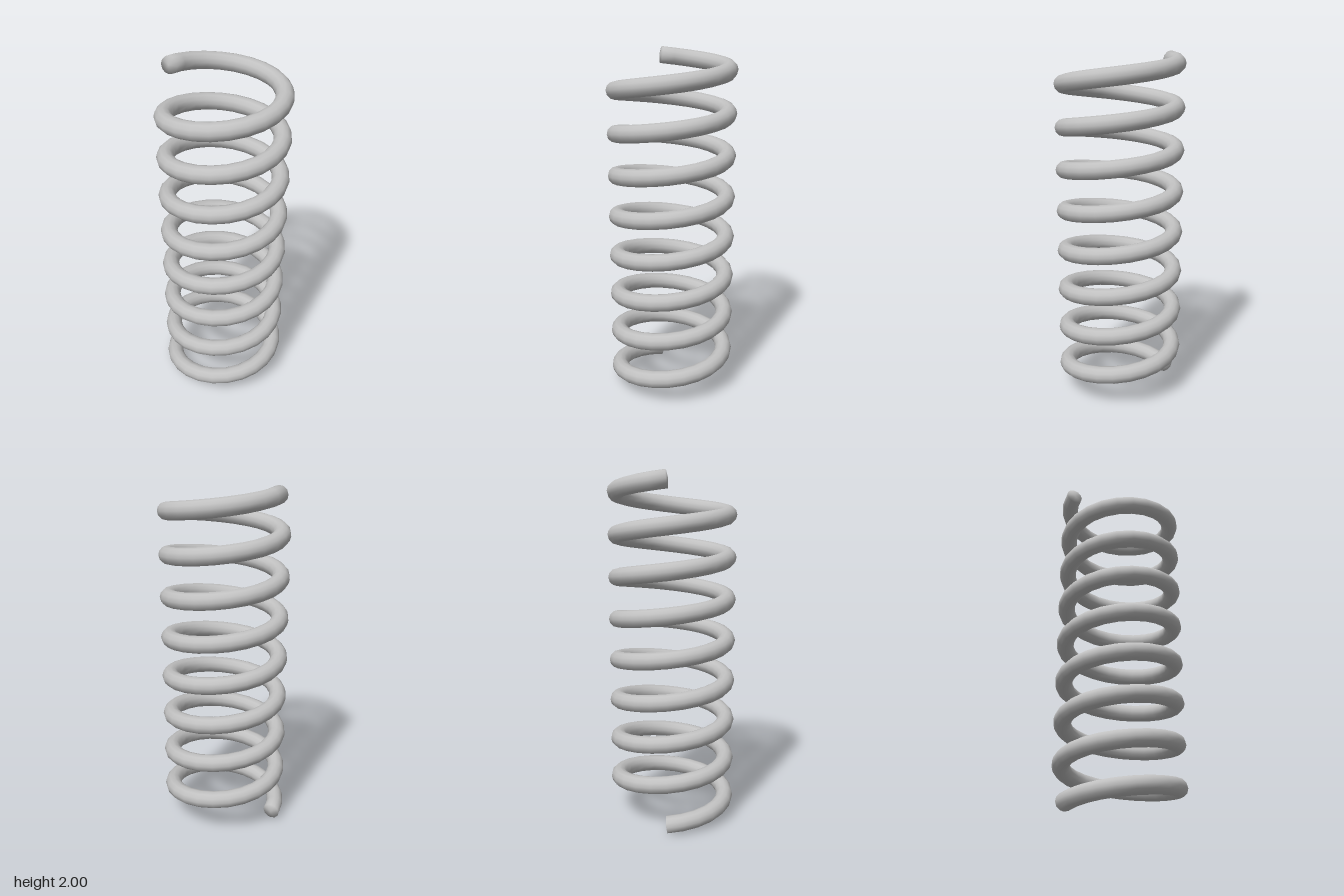
import * as THREE from 'three';

const TURNS = 8, STEPS = 24, SIDES = 12;
const RADIUS = 0.317, WIRE = 0.049, BASE = 0.05, PITCH = 0.2375, BULGE = 0.008;

// Wire swept along a helix, closed by slightly domed ends
function coilGeometry() {
  const pos = [], index = [];
  const rings = TURNS * STEPS;
  const slope = PITCH / (2 * Math.PI);
  const radial = new THREE.Vector3(), tangent = new THREE.Vector3();
  const up = new THREE.Vector3(), centre = new THREE.Vector3(), p = new THREE.Vector3();
  const frame = (i) => {
    const t = (i / STEPS) * Math.PI * 2;
    radial.set(-Math.cos(t), 0, Math.sin(t));
    tangent.set(RADIUS * Math.sin(t), slope, RADIUS * Math.cos(t)).normalize();
    up.crossVectors(tangent, radial);
    centre.copy(radial).multiplyScalar(RADIUS).setY(BASE + slope * t);
  };

  // Rings of the wire
  for (let i = 0; i <= rings; i++) {
    frame(i);
    for (let j = 0; j < SIDES; j++) {
      const a = (j / SIDES) * Math.PI * 2;
      p.copy(centre).addScaledVector(radial, WIRE * Math.cos(a)).addScaledVector(up, WIRE * Math.sin(a));
      pos.push(p.x, p.y, p.z);
    }
  }
  for (let i = 0; i < rings; i++) {
    for (let j = 0; j < SIDES; j++) {
      const k = (j + 1) % SIDES;
      const a = i * SIDES + j, b = i * SIDES + k, c = a + SIDES, d = b + SIDES;
      index.push(a, b, c, b, d, c);
    }
  }

  // Domed ends
  for (const [ring, sign] of [[0, -1], [rings, 1]]) {
    frame(ring);
    p.copy(centre).addScaledVector(tangent, sign * BULGE);
    const tip = pos.length / 3;
    pos.push(p.x, p.y, p.z);
    for (let j = 0; j < SIDES; j++) {
      const a = ring * SIDES + j, b = ring * SIDES + ((j + 1) % SIDES);
      if (sign > 0) index.push(tip, a, b);
      else index.push(tip, b, a);
    }
  }

  const geometry = new THREE.BufferGeometry();
  geometry.setAttribute('position', new THREE.Float32BufferAttribute(pos, 3));
  geometry.setIndex(index);
  geometry.computeVertexNormals();
  return geometry;
}

export function createModel() {
  const group = new THREE.Group();
  group.name = 'coilSpring';
  const steel = new THREE.MeshStandardMaterial({ color: 0xc0c0c0 });
  steel.name = 'steelGrey';
  const coil = new THREE.Mesh(coilGeometry(), steel);
  coil.name = 'coil';
  group.add(coil);
  return group;
}
